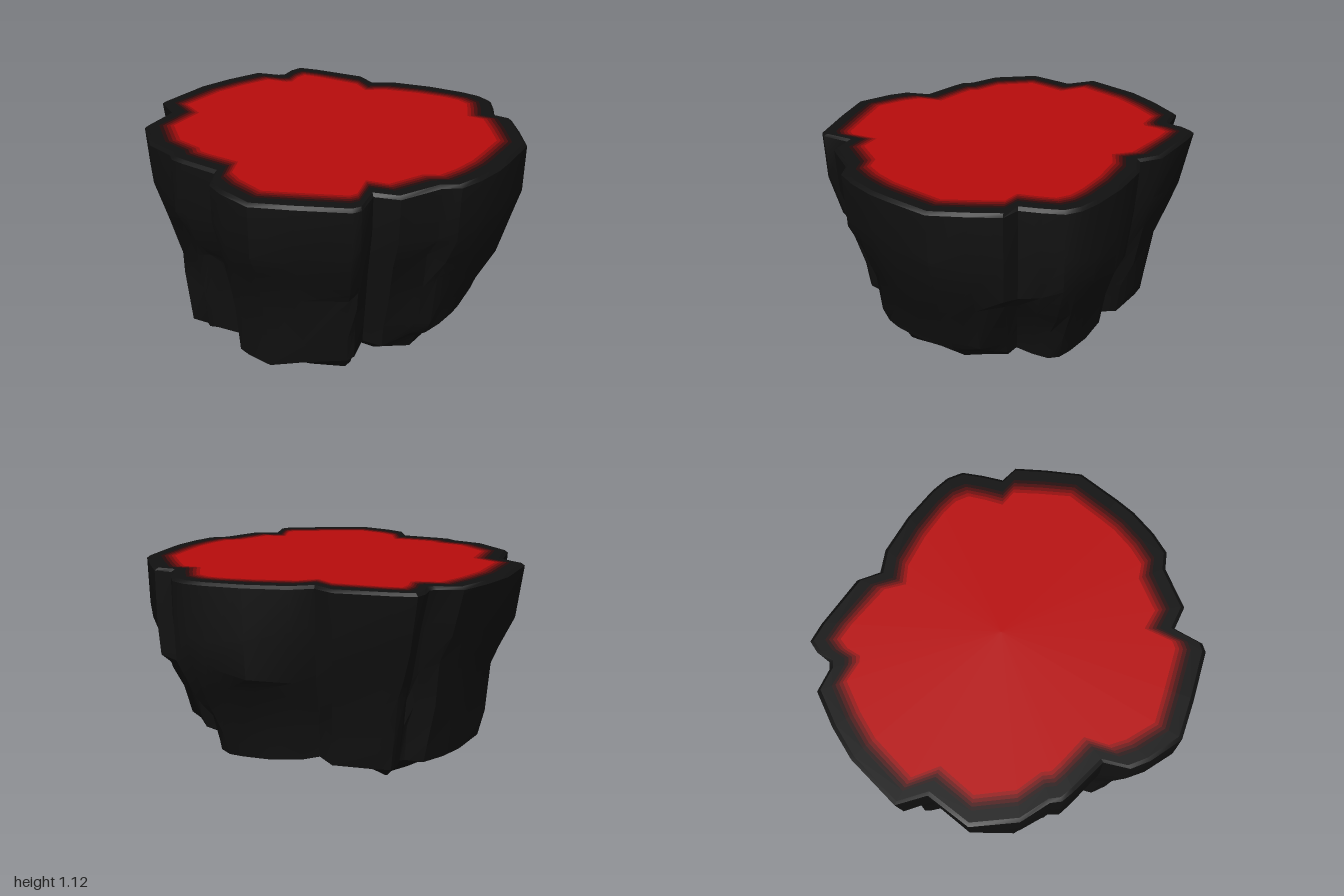
import * as THREE from 'three';
import { toCreasedNormals } from 'three/addons/utils/BufferGeometryUtils.js';

// Plan of the rim as x, z pairs, starting at the back and running towards +x
const OUTLINE = [
  -0.04, -1, 0.06, -0.91, 0.1, -0.9, 0.17, -0.95, 0.24, -0.97, 0.32, -0.89, 0.51, -0.65, 0.52, -0.52,
  0.64, -0.46, 0.8, -0.29, 0.92, -0.12, 0.97, -0.02, 0.98, 0.07, 0.93, 0.17, 0.87, 0.27, 0.92, 0.36,
  0.86, 0.52, 0.78, 0.7, 0.57, 0.84, 0.47, 0.9, 0.32, 0.96, 0.19, 0.99, 0.1, 0.95, -0.14, 0.97,
  -0.24, 0.88, -0.36, 0.99, -0.41, 0.99, -0.64, 0.84, -0.82, 0.71, -0.88, 0.52, -0.89, 0.41, -0.82, 0.29,
  -0.92, 0.1, -0.95, 0.03, -0.94, -0.03, -0.99, -0.2, -0.94, -0.45, -0.73, -0.6, -0.73, -0.77,
  -0.44, -0.92, -0.25, -0.97,
];
const COUNT = OUTLINE.length / 2;

// Height of the broken lower edge, and of the recessed footing, per outline point
const EDGE = [
  0.13, 0.14, 0.14, 0.13, 0.13, 0.13, 0.13, 0.15, 0.14, 0.13, 0.13, 0.13, 0.14, 0.16, 0.19, 0.2,
  0.21, 0.21, 0.2, 0.2, 0.19, 0.18, 0.18, 0.16, 0.18, 0.16, 0.15, 0.13, 0.1, 0.09, 0.08, 0.1,
  0.08, 0.06, 0.05, 0.01, 0.06, 0.12, 0.12, 0.12, 0.12,
];
const FOOT = [
  0.07, 0.04, 0.02, 0.04, 0.07, 0.1, 0.12, 0.12, 0.12, 0.11, 0.11, 0.11, 0.11, 0.12, 0.12, 0.11,
  0.11, 0.1, 0.1, 0.09, 0.06, 0.03, 0.03, 0.08, 0.1, 0.04, 0.02, 0.03, 0.06, 0.07, 0.07, 0.08,
  0.06, 0.05, 0.03, 0, 0.05, 0.1, 0.08, 0.05, 0.07,
];

// Wall tiers: height, then the taper towards +x, +z, -x and -z
const TIERS = [
  [0.86, 1, 0.985, 1, 0.93],
  [0.66, 0.995, 0.92, 0.955, 0.87],
  [0.5, 0.89, 0.88, 0.89, 0.83],
  [0.3, 0.79, 0.83, 0.87, 0.79],
];
const FOOT_TAPER = [0, 0.74, 0.79, 0.84, 0.75];

const makeRing = (fn) => Array.from({ length: COUNT }, (_, k) => {
  const x = OUTLINE[2 * k], z = OUTLINE[2 * k + 1];
  return fn(x, z, Math.hypot(x, z), k);
});

// Rim ring moved inwards by a fixed distance
const insetRing = (d, y) => makeRing((x, z, r) => [x * (1 - d / r), y, z * (1 - d / r)]);

// Blend the taper of the two nearest sides
function taper(row, x, z, r) {
  const a = (x / r) ** 2;
  return (x > 0 ? row[1] : row[3]) * a + (z > 0 ? row[2] : row[4]) * (1 - a);
}

// Join rings (inner top to outer wall to underside) into one surface
function loft(rings) {
  const out = [];
  const tri = (a, b, c) => {
    const same = (p, q) => p.every((v, i) => v === q[i]);
    if (!same(a, b) && !same(b, c) && !same(a, c)) out.push(...a, ...b, ...c);
  };
  for (let i = 0; i < rings.length - 1; i++) {
    for (let k = 0; k < COUNT; k++) {
      const n = (k + 1) % COUNT;
      tri(rings[i][k], rings[i][n], rings[i + 1][n]);
      tri(rings[i][k], rings[i + 1][n], rings[i + 1][k]);
    }
  }
  const g = new THREE.BufferGeometry();
  g.setAttribute('position', new THREE.Float32BufferAttribute(out, 3));
  return toCreasedNormals(g, 0.6);
}

export function createModel() {
  const group = new THREE.Group();
  group.name = 'rockPlatform';
  const add = (name, rings, color) => {
    const mesh = new THREE.Mesh(loft(rings), new THREE.MeshStandardMaterial({ color }));
    mesh.name = name;
    group.add(mesh);
  };
  const TOP = 1.125;

  // Red top surface
  const centre = makeRing(() => [0, TOP, 0]);
  add('topSurface', [centre, insetRing(0.16, TOP)], 0xb80c0c);

  // Narrow bands fading from red to the dark rim
  const bands = [0x960b0b, 0x700b0b, 0x4a0b0b, 0x260c0c];
  bands.forEach((color, i) => {
    const d = 0.16 - i * 0.02;
    add('fadeBand' + (i + 1), [insetRing(d, TOP), insetRing(d - 0.02, TOP)], color);
  });

  // Dark rock: rim, tapering walls, broken lower edge, recessed footing, underside
  const walls = TIERS.map((row, i) => makeRing((x, z, r, k) => {
    const chip = 0.012 * (1 + Math.sin(k * 2.3 + i * 1.9)); // small uneven ledges
    const s = taper(row, x, z, r) - (i ? chip : 0);
    return [x * s, row[0] + 0.05 * Math.sin(k * 1.1 + i * 2), z * s];
  }));
  const foot = (f, height) => makeRing((x, z, r, k) => {
    const s = taper(FOOT_TAPER, x, z, r) * f;
    return [x * s, height(k), z * s];
  });
  add('rockBody', [
    insetRing(0.08, TOP),
    insetRing(0.02, TOP),
    insetRing(0, 1.11),
    ...walls,
    foot(1, (k) => EDGE[k]),
    foot(0.9, (k) => EDGE[k] * 0.6 + FOOT[k] * 0.4),
    foot(0.84, (k) => FOOT[k]),
    foot(0.4, () => 0.07),
    makeRing(() => [0, 0.06, 0]),
  ], 0x111111);

  return group;
}
